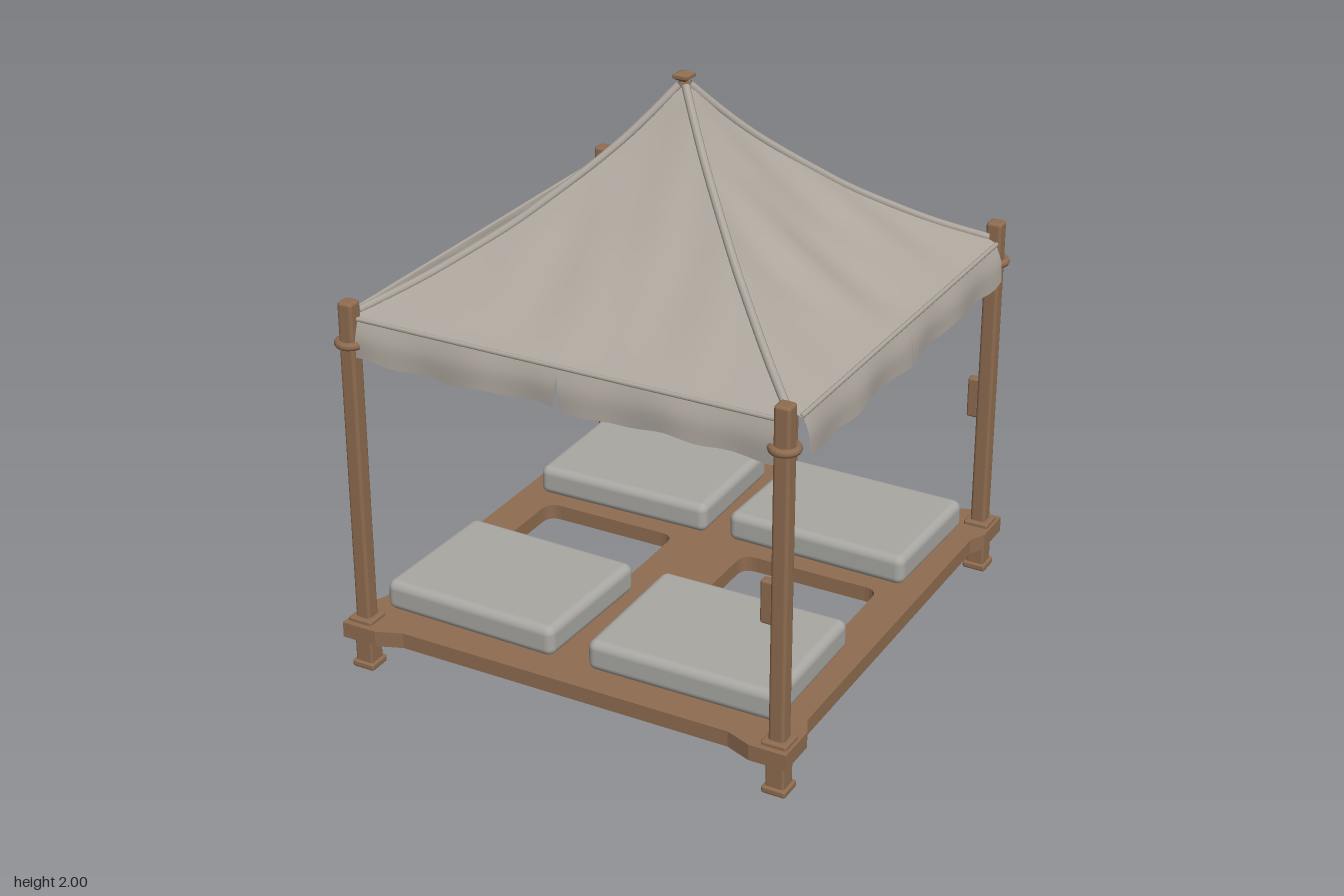
import * as THREE from 'three';
import { RoundedBoxGeometry } from 'three/addons/geometries/RoundedBoxGeometry.js';

const wood = new THREE.MeshStandardMaterial({ color: 0x8f6c50 });
wood.name = 'wood';
const canvas = new THREE.MeshStandardMaterial({ color: 0xaea79e, side: THREE.DoubleSide });
canvas.name = 'canvas';
const cushionCloth = new THREE.MeshStandardMaterial({ color: 0xa9a8a3 });
cushionCloth.name = 'cushionCloth';

const POST_X = 0.775, POST_Z = 0.805;

function add(parent, name, geometry, material, x = 0, y = 0, z = 0) {
  const mesh = new THREE.Mesh(geometry, material);
  mesh.name = name;
  mesh.position.set(x, y, z);
  parent.add(mesh);
  return mesh;
}

const block = (w, h, d, r = 0.008) => new RoundedBoxGeometry(w, h, d, 2, r);

// Sheet of cloth: rule(u, v) gives a point, u from -1 to 1, v from 0 (top) to 1
function sheet(nu, nv, rule) {
  const geo = new THREE.PlaneGeometry(2, 1, nu, nv);
  const p = geo.attributes.position;
  for (let i = 0; i < p.count; i++) p.setXYZ(i, ...rule(p.getX(i), 0.5 - p.getY(i)));
  geo.computeVertexNormals();
  return geo;
}

// Height of the sagging roof at distance r from the centre
const roofCurve = new THREE.SplineCurve([
  [0, 1.96], [0.1, 1.835], [0.2, 1.725], [0.3, 1.63], [0.4, 1.54],
  [0.5, 1.465], [0.6, 1.395], [0.7, 1.335], [0.8, 1.285],
].map(([x, y]) => new THREE.Vector2(x, y)));
const roofY = (r) => roofCurve.getPoint(r / 0.8).y;

function roundedRect(x, z, w, d, r) {
  const path = new THREE.Path();
  const a = x - w / 2, b = x + w / 2, c = z - d / 2, e = z + d / 2;
  path.moveTo(a + r, c).lineTo(b - r, c);
  path.quadraticCurveTo(b, c, b, c + r).lineTo(b, e - r);
  path.quadraticCurveTo(b, e, b - r, e).lineTo(a + r, e);
  path.quadraticCurveTo(a, e, a, e - r).lineTo(a, c + r);
  path.quadraticCurveTo(a, c, a + r, c);
  return path;
}

// One layer of the platform, with widened corners and rounded openings
function deckLayer(depth, rows) {
  const quarter = [[0.8, 0.66], [0.83, 0.72], [0.83, 0.87], [0.7, 0.87], [0.61, 0.835]];
  const back = [...quarter].reverse();
  const outline = [
    ...quarter, ...back.map(([x, z]) => [-x, z]),
    ...quarter.map(([x, z]) => [-x, -z]), ...back.map(([x, z]) => [x, -z]),
  ];
  const shape = new THREE.Shape(outline.map(([x, z]) => new THREE.Vector2(x, z)));
  for (const [z, d] of rows)
    for (const x of [-0.4, 0.4]) shape.holes.push(roundedRect(x, z, 0.52, d, 0.05));
  const geo = new THREE.ExtrudeGeometry(shape, { depth, bevelEnabled: false, curveSegments: 5 });
  return geo.rotateX(-Math.PI / 2);
}

function buildPlatform() {
  const g = new THREE.Group();
  g.name = 'platform';
  add(g, 'deckTop', deckLayer(0.04, [[0, 0.36]]), wood, 0, 0.14, 0);
  add(g, 'deckUnderframe', deckLayer(0.016, [[0, 0.36], [0.5, 0.4], [-0.5, 0.4]]), wood, 0, 0.124, 0);
  add(g, 'centreBeam', block(0.07, 0.03, 1.6), wood, 0, 0.132, 0);
  for (const x of [-1, 1]) for (const z of [-1, 1])
    add(g, 'cornerBlock', block(0.09, 0.03, 0.09), wood, x * POST_X, 0.18, z * POST_Z);
  return g;
}

function buildPost(x, z) {
  const g = new THREE.Group();
  g.name = 'cornerPost';
  add(g, 'shaft', block(0.056, 1.33, 0.056, 0.012), wood, 0, 0.68, 0);
  add(g, 'foot', block(0.085, 0.026, 0.085), wood, 0, 0.013, 0);
  add(g, 'footStem', block(0.066, 0.1, 0.066), wood, 0, 0.07, 0);
  // Lashing ring that holds the cloth
  const ring = new THREE.TorusGeometry(0.04, 0.014, 8, 16).rotateX(Math.PI / 2);
  add(g, 'lashing', ring, wood, 0, 1.2, 0);
  g.position.set(x, 0, z);
  return g;
}

function buildCanopy() {
  const g = new THREE.Group();
  g.name = 'canopy';
  for (let k = 0; k < 4; k++) {
    const amp = k % 2 ? 0.014 : 0.006;
    // Roof panel, narrowed at the corners to let the posts through
    const roof = sheet(32, 28, (u, v) => {
      const r = 0.004 + 0.796 * v;
      const s = u * Math.min(r, 0.755);
      const fold = Math.sin(s * 15 + k * 2 + v * 2) + 0.5 * Math.sin(s * 27 - v * 4 + k);
      return [s, roofY(r) + amp * fold * (1 - u * u) * Math.sin(Math.PI * v), r];
    });
    add(g, 'roofPanel', roof, canvas).rotation.y = k * Math.PI / 2;
    // Hanging border in two halves, parted in the middle
    for (const side of [-1, 1]) {
      const border = sheet(22, 7, (u, v) => {
        const slit = (k === 0 ? 0.02 : 0.006) * Math.max(0, v - 0.25);
        const inner = side * slit, outer = side * 0.745;
        const t = (side * u + 1) / 2;
        const s = inner + (outer - inner) * t;
        const drop = 0.135 + 0.006 * Math.sin(s * 11 + k * 1.7) + 0.004 * Math.sin(s * 29 + k);
        const bulge = 0.022 * Math.sin(Math.min(1, v * 1.6) * Math.PI / 2);
        return [s, 1.286 - drop * v, 0.8 + bulge + 0.008 * v * Math.sin(s * 17 + k * 2)];
      });
      add(g, 'border', border, canvas).rotation.y = k * Math.PI / 2;
    }
    // Rolled hem and ridge seam
    const hem = new THREE.CylinderGeometry(0.008, 0.008, 1.5, 8).rotateZ(Math.PI / 2).translate(0, 1.284, 0.8);
    add(g, 'hem', hem, canvas).rotation.y = k * Math.PI / 2;
    const pts = [];
    for (let i = 0; i <= 12; i++) {
      const r = 0.012 + 0.75 * i / 12;
      pts.push(new THREE.Vector3(r, roofY(r), r));
    }
    const seam = new THREE.TubeGeometry(new THREE.CatmullRomCurve3(pts), 30, 0.014, 8);
    add(g, 'ridgeSeam', seam, canvas).rotation.y = k * Math.PI / 2;
  }
  return g;
}

function buildFinial() {
  const profile = [[0, 1.93], [0.018, 1.935], [0.022, 1.95], [0.014, 1.962], [0.04, 1.975], [0.04, 1.985], [0, 2]];
  const geo = new THREE.LatheGeometry(profile.map(([x, y]) => new THREE.Vector2(x, y)), 4);
  const flat = geo.rotateY(Math.PI / 4).toNonIndexed();
  flat.computeVertexNormals();
  return flat;
}

// Seat pad with a gently lumpy surface
function cushionGeometry(w, d, seed) {
  const geo = new RoundedBoxGeometry(w, 0.11, d, 4, 0.03);
  const p = geo.attributes.position;
  for (let i = 0; i < p.count; i++) {
    const x = p.getX(i), z = p.getZ(i);
    p.setY(i, p.getY(i) + 0.004 * Math.sin(x * 9 + seed) * Math.cos(z * 8 + seed));
  }
  return geo;
}

export function createModel() {
  const model = new THREE.Group();
  model.name = 'gardenPavilion';
  model.add(buildPlatform());

  for (const x of [-1, 1]) for (const z of [-1, 1]) model.add(buildPost(x * POST_X, z * POST_Z));
  add(model, 'backCentrePost', block(0.058, 1.335, 0.058, 0.01), wood, 0, 0.6675, -0.81);
  add(model, 'backCentreCap', block(0.07, 0.04, 0.066), wood, 0, 1.315, -0.81);
  for (const z of [-1, 1])
    add(model, 'postBracket', block(0.045, 0.15, 0.035), wood, 0.73, 0.67, z * POST_Z);

  model.add(buildCanopy());
  add(model, 'finial', buildFinial(), wood);

  // Cushions: centre x, centre z, width, depth, turn
  [
    [0.385, 0.475, 0.69, 0.53, 0.01],
    [-0.41, 0.475, 0.66, 0.53, -0.02],
    [0.39, -0.485, 0.68, 0.51, -0.015],
    [-0.39, -0.485, 0.68, 0.51, 0.015],
  ].forEach(([x, z, w, d, turn], i) => {
    add(model, 'cushion', cushionGeometry(w, d, i * 2), cushionCloth, x, 0.238, z).rotation.y = turn;
  });
  return model;
}
